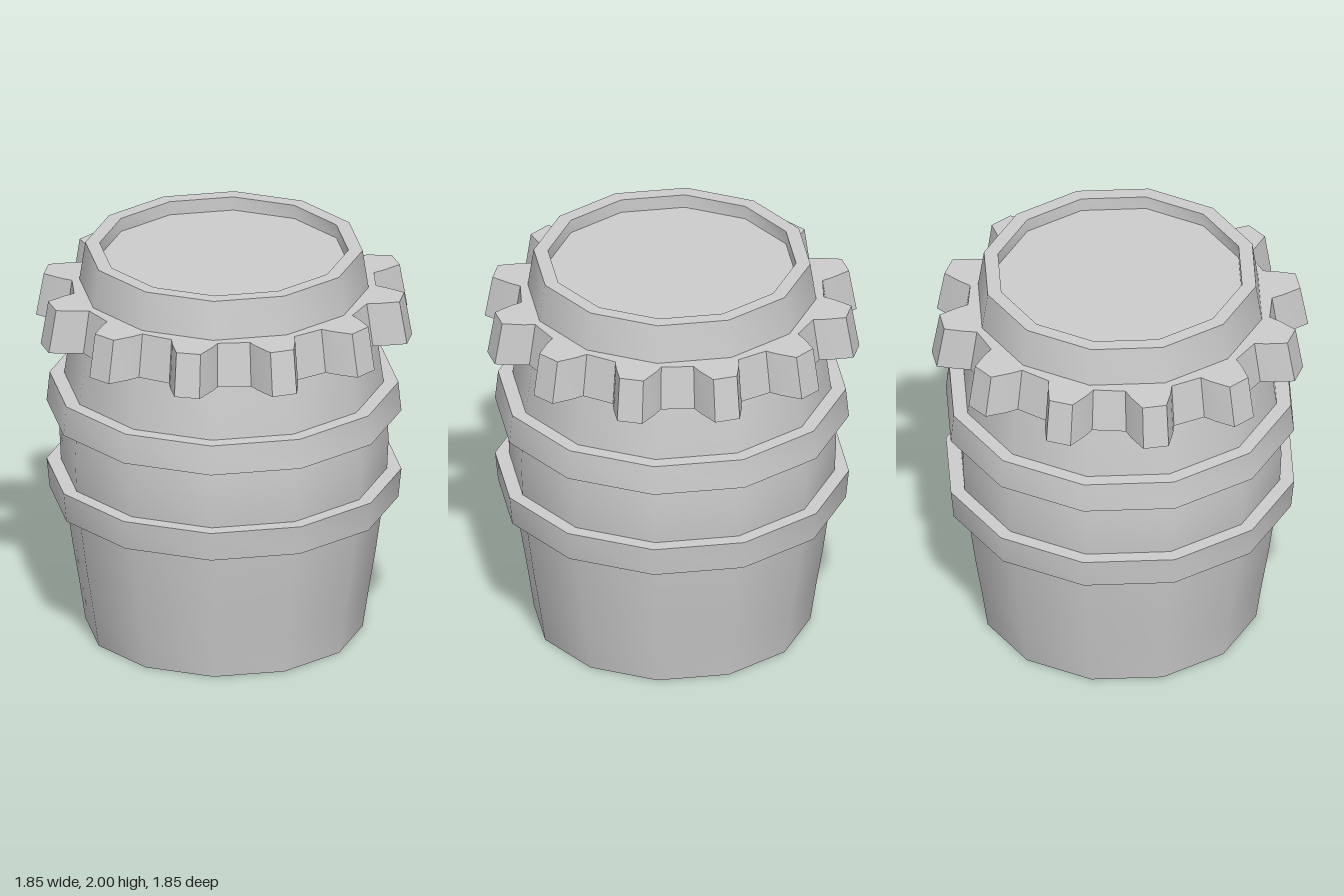
import * as THREE from 'three';
import { toCreasedNormals } from 'three/addons/utils/BufferGeometryUtils.js';

const SIDES = 12;
const material = new THREE.MeshStandardMaterial({ color: 0xcccccc, side: THREE.DoubleSide });

function addMesh(group, name, geometry, crease = 0.6) {
  const mesh = new THREE.Mesh(toCreasedNormals(geometry, crease), material);
  mesh.name = name;
  group.add(mesh);
  return mesh;
}

// Twelve-sided turned part from [radius, height] pairs
function turned(profile) {
  return new THREE.LatheGeometry(profile.map(([r, y]) => new THREE.Vector2(r, y)), SIDES);
}

// Toothed collar that widens towards its lower edge, like the barrel wall
function collarGeometry(bottom, top) {
  const tooth = [[0.735, -0.115], [0.79, -0.1], [0.887, -0.06], [0.887, 0.06], [0.79, 0.1], [0.735, 0.115]];
  const points = [];
  for (let i = 0; i < SIDES; i++) {
    const angle = THREE.MathUtils.degToRad(7 + i * 30);
    for (const [r, w] of tooth) {
      points.push(new THREE.Vector2(r, w).rotateAround(new THREE.Vector2(), angle));
    }
  }
  const shape = new THREE.Shape(points);
  const hole = [];
  for (let i = 0; i < SIDES; i++) {
    const a = -i * Math.PI / 6;
    hole.push(new THREE.Vector2(0.69 * Math.cos(a), 0.69 * Math.sin(a)));
  }
  shape.holes.push(new THREE.Path(hole));
  const height = top - bottom;
  const geometry = new THREE.ExtrudeGeometry(shape, { depth: height, bevelEnabled: false });
  geometry.rotateX(Math.PI / 2); // shape y becomes z, depth runs downwards
  const pos = geometry.attributes.position;
  for (let i = 0; i < pos.count; i++) {
    const s = 1 + 0.043 * (-pos.getY(i) / height);
    pos.setX(i, pos.getX(i) * s);
    pos.setZ(i, pos.getZ(i) * s);
  }
  geometry.translate(0, top, 0);
  return geometry;
}

export function createModel() {
  const group = new THREE.Group();
  group.name = 'barrel';

  // Bulging wall, mirrored about mid-height
  const half = [[0.68, 0], [0.71, 0.2], [0.743, 0.4], [0.783, 0.69], [0.8, 0.85]];
  const upper = half.map(([r, y]) => [r, 2 - y]).reverse();
  addMesh(group, 'barrelWall', turned([...half, [0.807, 1], ...upper]));

  // Flat rim, short inner wall and recessed lid
  addMesh(group, 'rimAndLid', turned([[0.68, 2], [0.61, 2], [0.61, 1.93], [0, 1.93]]));

  // Raised floor inside the open base
  addMesh(group, 'floor', turned([[0, 0.79], [0.793, 0.79]]));

  // Pair of hoops, the upper one a mirror of the lower
  const hoop = [[0.775, 0.695], [0.855, 0.695], [0.87, 0.845], [0.79, 0.845], [0.775, 0.695]];
  addMesh(group, 'lowerHoop', turned(hoop));
  addMesh(group, 'upperHoop', turned(hoop.map(([r, y]) => [r, 2 - y]).reverse()));

  // Toothed collar below the rim
  addMesh(group, 'toothedCollar', collarGeometry(1.585, 1.805), 0.3);

  return group;
}
